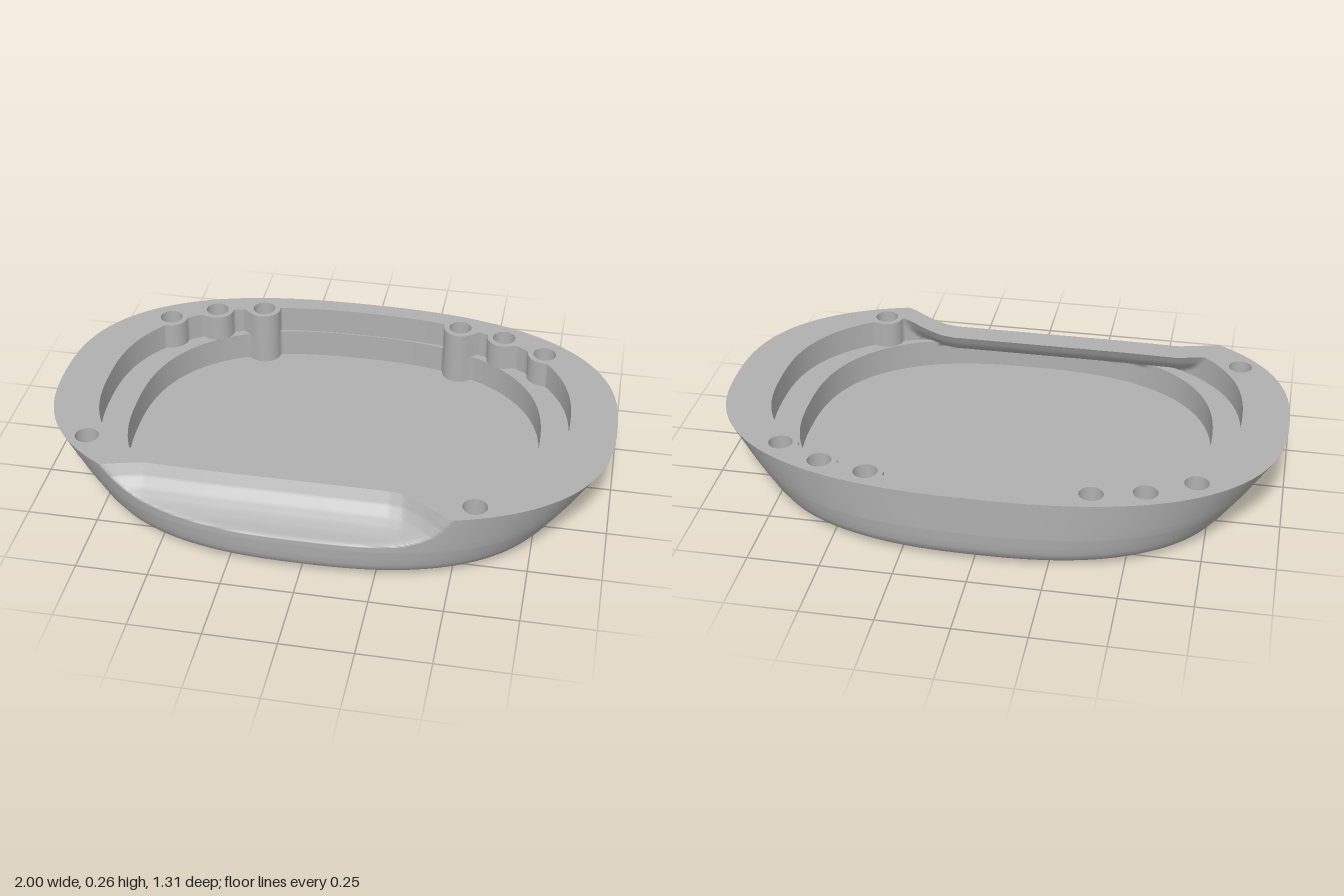
import * as THREE from 'three';

const TOP = 0.265, LEDGE = 0.165, FLOOR = 0.06, N = 600;
const BOSS_R = 0.062, HOLE_R = 0.042, HOLE_DEPTH = 0.07;

// Screw bosses [x, z]; the tall pair reaches down to the floor
const tall = [[0.38, -0.555], [-0.38, -0.555]];
const bosses = [...tall, [0.55, -0.515], [-0.555, -0.515], [0.71, -0.43], [-0.715, -0.43],
  [-0.805, 0.37], [0.565, 0.52]];

// Piecewise linear lookup through [t, value] points
function lookup(points, t) {
  if (t <= points[0][0]) return points[0][1];
  for (let i = 1; i < points.length; i++) {
    const [t0, v0] = points[i - 1], [t1, v1] = points[i];
    if (t <= t1) return v0 + (v1 - v0) * (t - t0) / (t1 - t0);
  }
  return points[points.length - 1][1];
}

// Outer half width and half depth by height
const halfWidth = [[0, 0.77], [0.003, 0.785], [0.012, 0.805], [0.03, 0.828], [0.06, 0.853], [0.15, 0.922], [TOP, 1]];
const halfDepth = [[0, 0.575], [0.003, 0.59], [0.012, 0.612], [0.03, 0.633], [0.06, 0.646], [0.12, 0.653], [TOP, 0.655]];

// Front grip scoop: edge in plan, and how far it reaches forward by height
const scoopEdge = [[-1, 0.9], [-0.8, 0.59], [-0.73, 0.527], [-0.65, 0.504], [-0.57, 0.485], [-0.35, 0.49],
  [0.28, 0.49], [0.33, 0.5], [0.4, 0.54], [0.47, 0.592], [0.52, 0.62], [0.6, 0.72], [1, 1.2]];
const scoopReach = [[0.1, 0.5], [0.13, 0.25], [0.145, 0.165], [0.158, 0.12], [0.175, 0.083], [0.195, 0.05],
  [0.225, 0.022], [TOP, 0]];

// Closed outline as polar samples: a superellipse cut by the scoop and by bosses
function outline(a, b, y, inset, bossList = []) {
  const reach = lookup(scoopReach, y) - inset;
  return Array.from({ length: N }, (_, j) => {
    const t = j / N * Math.PI * 2, c = Math.cos(t), s = Math.sin(t);
    let r = Math.pow(Math.pow(Math.abs(c) / a, 2.5) + Math.pow(Math.abs(s) / b, 2.5), -1 / 2.5);
    const outside = (d) => d * s > lookup(scoopEdge, d * c) + reach;
    if (s > 0 && outside(r)) {
      let lo = 0, hi = r;
      for (let k = 0; k < 24; k++) {
        const mid = (lo + hi) / 2;
        if (outside(mid)) hi = mid; else lo = mid;
      }
      r = lo;
    }
    for (const [x, z] of bossList) {
      const d = c * x + s * z, off = BOSS_R * BOSS_R - (x * x + z * z - d * d);
      if (d > 0 && off > 0) r = Math.min(r, d - Math.sqrt(off));
    }
    return [r * c, y, r * s];
  });
}

const outer = (y) => outline(lookup(halfWidth, y), lookup(halfDepth, y), y, 0);
const upper = (y) => outline(0.835, 0.59, y, 0.09, bosses);
const lower = (y) => outline(0.735, 0.585, y, 0.09, tall);

// Skin through outlines listed from the top down
function loft(rows, inward) {
  const index = [];
  for (let i = 0; i < rows.length - 1; i++) {
    for (let j = 0; j < N; j++) {
      const k = (j + 1) % N;
      const a = i * N + j, b = i * N + k, c = a + N, d = b + N;
      if (inward) index.push(a, c, b, b, c, d);
      else index.push(a, b, c, b, d, c);
    }
  }
  const g = new THREE.BufferGeometry();
  g.setAttribute('position', new THREE.Float32BufferAttribute(rows.flat(2), 3));
  g.setIndex(index);
  g.computeVertexNormals();
  return g;
}

// Flat horizontal face from an outline
function plate(row, y, up, holes = []) {
  const sign = up ? -1 : 1;
  const shape = new THREE.Shape(row.map(([x, , z]) => new THREE.Vector2(x, sign * z)));
  shape.holes.push(...holes);
  const g = new THREE.ShapeGeometry(shape);
  g.rotateX(sign * Math.PI / 2);
  g.translate(0, y, 0);
  return g;
}

const steps = (from, to, n) => Array.from({ length: n + 1 }, (_, i) => from + (to - from) * i / n);

export function createModel() {
  const group = new THREE.Group();
  const grey = new THREE.MeshStandardMaterial({ color: 0xb0b0b0 });
  grey.name = 'grey plastic';
  const add = (name, geometry) => {
    const mesh = new THREE.Mesh(geometry, grey);
    mesh.name = name;
    group.add(mesh);
    return mesh;
  };

  // Outer shell with its rounded foot and grip scoop
  const heights = [...steps(TOP, 0.12, 29), 0.09, 0.06, 0.045, 0.03, 0.02, 0.012, 0.007, 0.003, 0];
  add('outerShell', loft(heights.map(outer), false));
  add('base', plate(outer(0), 0, false));

  // Rim with boss holes and the cavity opening
  const opening = new THREE.Path(upper(TOP).map(([x, , z]) => new THREE.Vector2(x, -z)));
  const holes = bosses.map(([x, z]) => new THREE.Path().absarc(x, -z, HOLE_R, 0, Math.PI * 2, true));
  add('rim', plate(outer(TOP), TOP, true, [opening, ...holes]));

  // Stepped cavity
  add('upperInnerWall', loft(steps(TOP, LEDGE, 8).map(upper), true));
  add('ledge', loft([upper(LEDGE), lower(LEDGE)], true));
  add('lowerInnerWall', loft(steps(LEDGE, FLOOR, 8).map(lower), true));
  add('floor', plate(lower(FLOOR), FLOOR, true));

  // Blind screw holes: side and bottom in one inside-facing profile
  const profile = [[HOLE_R, TOP], [HOLE_R, TOP - HOLE_DEPTH]].map(([r, y]) => new THREE.Vector2(r, y));
  const side = new THREE.LatheGeometry(profile, 32);
  const bottom = new THREE.CircleGeometry(HOLE_R, 32).rotateX(-Math.PI / 2).translate(0, TOP - HOLE_DEPTH, 0);
  const p = side.attributes.position, n = side.attributes.normal;
  for (let i = 0; i < p.count; i++) n.setXYZ(i, -p.getX(i) / HOLE_R, 0, -p.getZ(i) / HOLE_R);
  // Make the triangles agree with the inward normals
  const ix = side.index, v = (i) => new THREE.Vector3().fromBufferAttribute(p, ix.getX(i));
  for (let i = 0; i < ix.count; i += 3) {
    const face = v(i + 1).sub(v(i)).cross(v(i + 2).sub(v(i)));
    if (face.dot(new THREE.Vector3().fromBufferAttribute(n, ix.getX(i))) < 0) {
      const keep = ix.getX(i + 1);
      ix.setX(i + 1, ix.getX(i + 2));
      ix.setX(i + 2, keep);
    }
  }
  for (const [x, z] of bosses) {
    add('screwHoleWall', side).position.set(x, 0, z);
    add('screwHoleBottom', bottom).position.set(x, 0, z);
  }
  return group;
}
